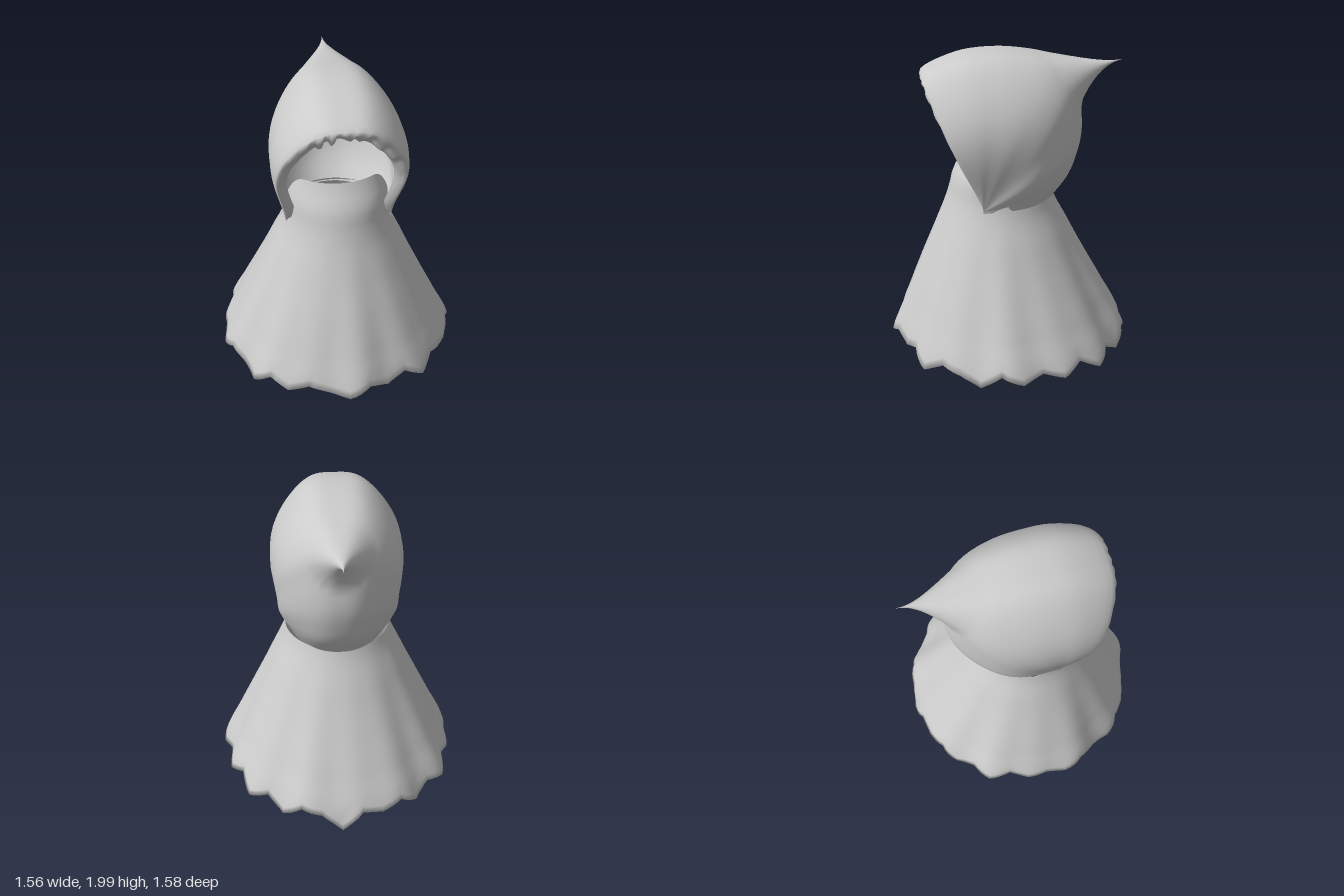
import * as THREE from 'three';

const cloth = new THREE.MeshStandardMaterial({ color: 0xcccccc, side: THREE.DoubleSide });

// Smooth interpolation through rows of numbers; t runs from 0 to keys.length - 1
function sample(keys, t) {
  const last = keys.length - 1;
  const i = Math.min(Math.floor(t), last - 1), f = t - i;
  const at = k => keys[Math.max(0, Math.min(last, k))];
  return keys[0].map((_, c) => {
    const [a, b, d, e] = [at(i - 1)[c], at(i)[c], at(i + 1)[c], at(i + 2)[c]];
    return b + 0.5 * f * (d - a + f * (2 * a - 5 * b + 4 * d - e + f * (3 * (b - d) + e - a)));
  });
}

// Skin a list of cross-sections, each a list of Vector3
function skin(name, rows, closed) {
  const n = rows[0].length, index = [];
  for (let i = 0; i < rows.length - 1; i++) {
    for (let j = 0; j < (closed ? n : n - 1); j++) {
      const k = (j + 1) % n;
      const a = i * n + j, b = i * n + k, c = a + n, d = b + n;
      index.push(a, b, d, a, d, c);
    }
  }
  const geometry = new THREE.BufferGeometry().setFromPoints(rows.flat());
  geometry.setIndex(index);
  geometry.computeVertexNormals();
  const mesh = new THREE.Mesh(geometry, cloth);
  mesh.name = name;
  return mesh;
}

// Hood: arches fanning from the face opening over the crown to the nape.
// Each key: foot x, y, z, apex y, z, sideways bulge, squareness
const HOOD = [
  [0.27, 1.15, 0.20, 1.77, 0.40, 0.09, 2.7],
  [0.29, 1.12, 0.20, 1.80, 0.48, 0.10, 3.0],
  [0.32, 1.10, 0.20, 1.88, 0.54, 0.11, 3.6],
  [0.33, 1.08, 0.20, 1.975, 0.32, 0.12, 4.0],
  [0.33, 1.08, 0.20, 2.00, 0.10, 0.12, 4.0],
  [0.33, 1.08, 0.20, 1.985, -0.10, 0.12, 3.8],
  [0.33, 1.08, 0.20, 1.945, -0.27, 0.11, 3.4],
  [0.33, 1.08, 0.20, 1.86, -0.39, 0.10, 3.0],
  [0.33, 1.08, 0.20, 1.72, -0.43, 0.09, 2.8],
  [0.33, 1.08, 0.20, 1.50, -0.45, 0.08, 2.6],
  [0.33, 1.08, 0.20, 1.33, -0.42, 0.05, 2.5],
  [0.33, 1.08, 0.20, 1.20, -0.37, 0.02, 2.4],
  [0.33, 1.07, 0.20, 1.06, -0.27, 0.00, 2.2],
];

function makeHood() {
  const steps = 5, cols = 56, rows = [];
  const spikeBase = new THREE.Vector3(0, 1.86, -0.39);
  const spikeTip = new THREE.Vector3(0, 1.917, -0.70);
  for (let i = 0; i <= (HOOD.length - 1) * steps; i++) {
    const t = i / steps;
    const [fx, fy, fz, ay, az, bulge, n] = sample(HOOD, t);
    const row = [];
    for (let j = 0; j <= cols; j++) {
      const s = Math.sin((j / cols - 0.5) * Math.PI);
      const a = Math.sqrt(Math.max(0, 1 - Math.abs(s) ** n));
      const p = new THREE.Vector3(
        s * (fx + bulge * Math.sin(Math.PI * a ** 1.3)),
        fy + (ay - fy) * a,
        fz + (az - fz) * a);
      // gathers in the turned-in rim
      const gather = Math.max(0, 1 - Math.abs(t - 1.1) / 0.9) * a * a;
      p.y += 0.025 * gather * Math.sin(j * 1.25 + Math.sin(j * 0.6));
      p.z += 0.02 * gather * Math.cos(j * 1.6);
      // pointed tail drawn out of the back of the crown
      const w = Math.max(0, 1 - p.distanceTo(spikeBase) / 0.21);
      p.lerp(spikeTip, w ** 1.1);
      row.push(p);
    }
    rows.push(row);
  }
  return skin('hood', rows, false);
}

// Cloak: oval rings; each key: y, half width, front z, back z
const CLOAK = [
  [0.10, 0.77, 0.775, -0.77],
  [0.34, 0.665, 0.69, -0.65],
  [0.60, 0.545, 0.59, -0.51],
  [0.84, 0.435, 0.49, -0.385],
  [1.08, 0.335, 0.40, -0.27],
  [1.22, 0.325, 0.36, -0.25],
  [1.38, 0.30, 0.27, -0.22],
];
// Ragged hem heights, counter-clockwise from the front centre
const HEM = [0.09, 0.15, 0.11, 0.16, 0.08, 0.15, 0.12, 0.06, 0.15, 0.10, 0.14, 0.10, 0.16, 0.08,
  0.14, 0.06, 0.15, 0.12, 0.01, 0.13, 0.11, 0.15, 0.07, 0.13, 0.10, 0.16, 0.11, 0.13,
  0.09, 0.15, 0.11, 0.06, 0.15, 0.10, 0.15, 0.12];

function cloakPoint(y, angle, inset = 0) {
  let k = 0;
  while (k < CLOAK.length - 2 && y > CLOAK[k + 1][0]) k++;
  const f = (y - CLOAK[k][0]) / (CLOAK[k + 1][0] - CLOAK[k][0]);
  const [, hx, zf, zb] = sample(CLOAK, Math.max(0, Math.min(CLOAK.length - 1, k + f)));
  // soft folds deepening towards the hem
  const low = Math.max(0, 1 - y / 1.05);
  const fold = 1 + low * (0.02 * Math.sin(9 * angle + 1) + 0.015 * Math.sin(14 * angle)) - inset;
  return new THREE.Vector3(
    hx * Math.sin(angle) * fold, y,
    (zf + zb) / 2 + (zf - zb) / 2 * Math.cos(angle) * fold);
}

function makeCloak() {
  const cols = 144, levels = 26, rows = [];
  const column = j => {
    const angle = j / cols * Math.PI * 2;
    const h = j / cols * HEM.length, i = Math.floor(h);
    const hem = THREE.MathUtils.lerp(HEM[i], HEM[(i + 1) % HEM.length], h - i);
    // the front rises into a collar below the face opening
    const rise = THREE.MathUtils.clamp((Math.cos(angle) + 0.1) / 0.85, 0, 1);
    return { angle, hem, top: 1.08 + 0.30 * Math.sin(rise * Math.PI / 2) };
  };
  const ring = fn => rows.push(Array.from({ length: cols }, (_, j) => fn(column(j))));
  // turned-in lip of the hem
  ring(c => cloakPoint(c.hem + 0.08, c.angle, 0.035));
  ring(c => cloakPoint(c.hem + 0.02, c.angle, 0.03));
  for (let i = 0; i <= levels; i++) {
    const v = i / levels;
    ring(c => {
      const p = cloakPoint(c.hem + (c.top - c.hem) * v, c.angle);
      // crumpled flare just above the edge
      const flare = Math.max(0, 1 - v / 0.08) * (0.12 - c.hem) * 0.3;
      p.x *= 1 + flare;
      p.z *= 1 + flare;
      return p;
    });
  }
  return skin('cloak', rows, true);
}

export function createModel() {
  const group = new THREE.Group();
  group.name = 'hoodedCloak';
  group.add(makeCloak(), makeHood());
  return group;
}
